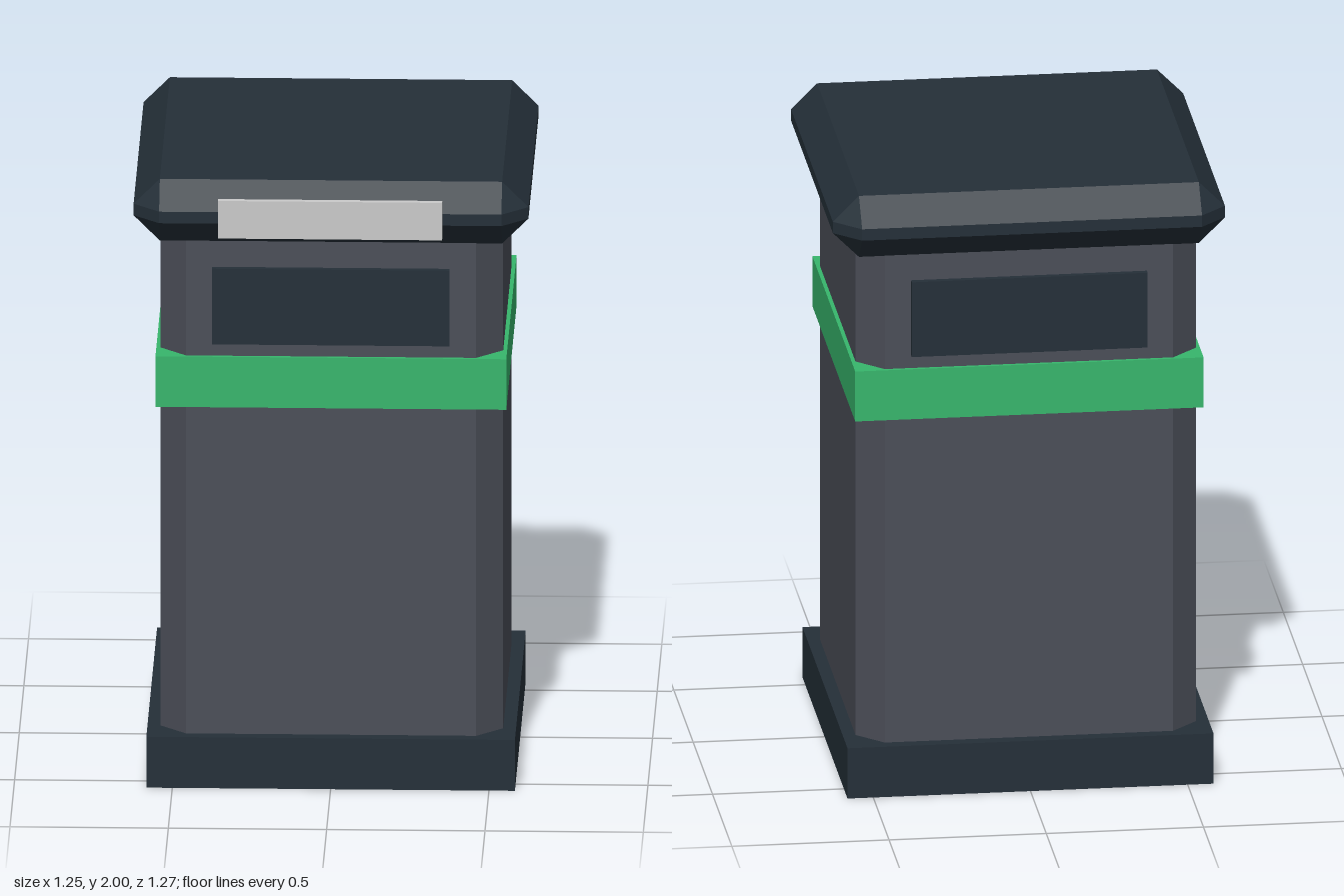
import * as THREE from 'three';
import { ConvexGeometry } from 'three/addons/geometries/ConvexGeometry.js';

const material = (name, color) => {
  const m = new THREE.MeshStandardMaterial({ color });
  m.name = name;
  return m;
};

// Box with every edge cut at 45 degrees
function chamferBox(w, h, d, c) {
  const points = [];
  for (const sx of [-1, 1]) for (const sy of [-1, 1]) for (const sz of [-1, 1]) {
    const x = w / 2, y = h / 2, z = d / 2;
    points.push(
      new THREE.Vector3(sx * x, sy * (y - c), sz * (z - c)),
      new THREE.Vector3(sx * (x - c), sy * y, sz * (z - c)),
      new THREE.Vector3(sx * (x - c), sy * (y - c), sz * z)
    );
  }
  return new ConvexGeometry(points);
}

export function createModel() {
  const model = new THREE.Group();
  model.name = 'litterBin';

  const dark = material('darkSlate', 0x242f38);
  const grey = material('bodyGrey', 0x4b4e58);
  const green = material('bandGreen', 0x37b66c);
  const silver = material('plateSilver', 0xcacaca);

  const zMid = -0.011; // the front plate shifts the bin slightly back

  const add = (name, geometry, mat, y, z = zMid) => {
    const mesh = new THREE.Mesh(geometry, mat);
    mesh.name = name;
    mesh.position.set(0, y, z);
    model.add(mesh);
  };

  // Plinth, body and band
  add('base', new THREE.BoxGeometry(1.164, 0.168, 1.164), dark, 0.084);
  add('body', chamferBox(1.083, 1.8, 1.083, 0.083), grey, 0.98);
  add('band', new THREE.BoxGeometry(1.108, 0.167, 1.108), green, 1.334);

  // Lid with wide bevels
  add('lid', chamferBox(1.247, 0.204, 1.247, 0.083), dark, 1.898);

  // Slot panels on front and back
  for (const [name, side] of [['frontSlot', 1], ['backSlot', -1]]) {
    add(name, new THREE.BoxGeometry(0.75, 0.25, 0.042), dark, 1.586, zMid + side * 0.541);
  }

  // Blank sign plate on the lid's front edge
  add('signPlate', new THREE.BoxGeometry(0.708, 0.124, 0.021), silver, 1.899, 0.624);

  return model;
}
